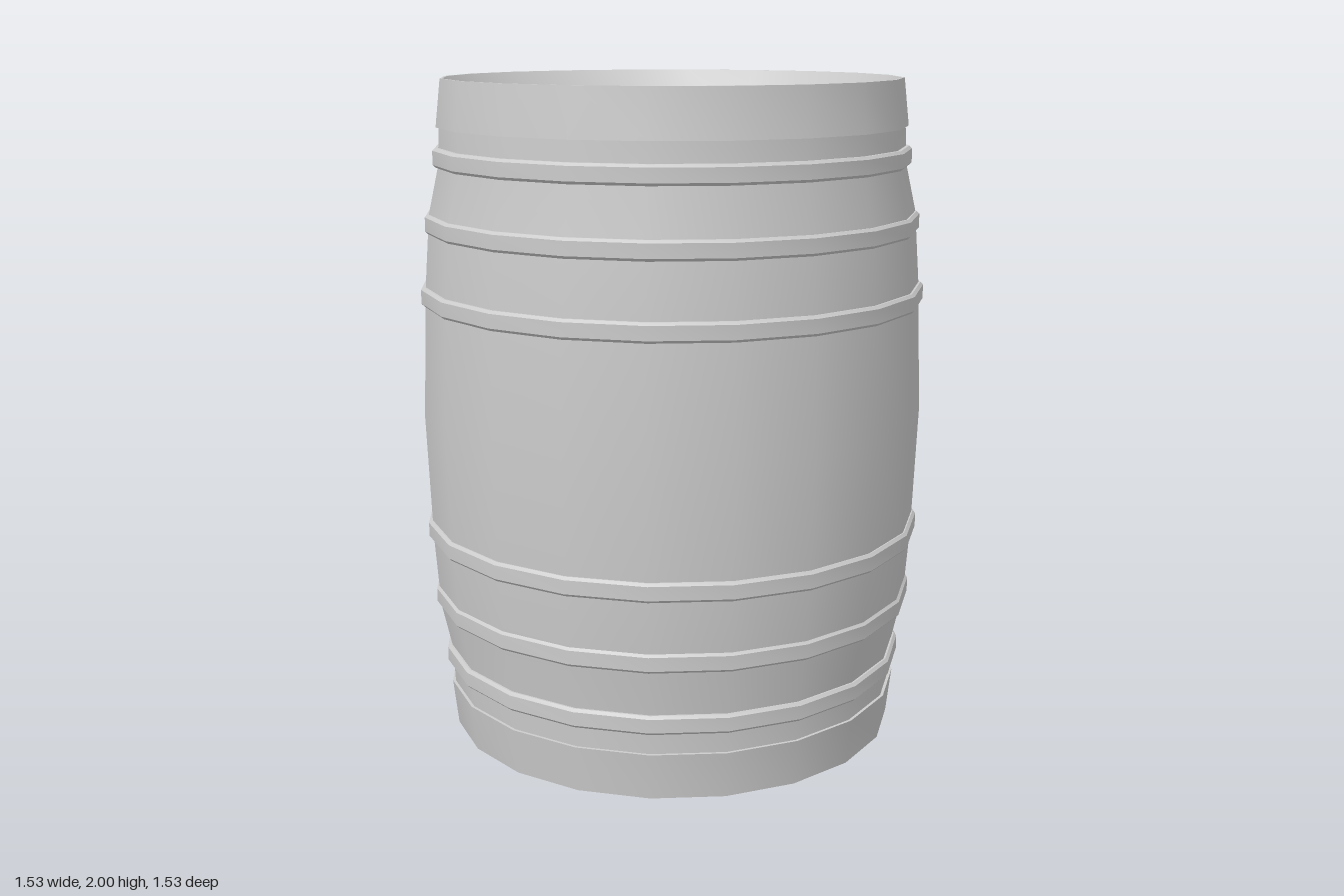
import * as THREE from 'three';
import { toCreasedNormals } from 'three/addons/utils/BufferGeometryUtils.js';

const SIDES = 20;
const HEIGHT = 2;

export function createModel() {
  const barrel = new THREE.Group();
  barrel.name = 'barrel';
  const material = new THREE.MeshStandardMaterial({ color: 0xcccccc });

  // Turned part from [radius, y] points; round the sides, sharp at the edges
  function turned(name, points) {
    const profile = points.map(([r, y]) => new THREE.Vector2(r, y));
    const geometry = toCreasedNormals(new THREE.LatheGeometry(profile, SIDES), 0.55);
    const mesh = new THREE.Mesh(geometry, material);
    mesh.name = name;
    barrel.add(mesh);
  }

  // Upside-down copy of a profile, reversed so that it still faces outward
  const flip = (points) => points.map(([r, y]) => [r, HEIGHT - y]).reverse();

  // Body: bulging staves closed by a sunken head at each end
  const upperHalf = [
    [0.752, 1.335], [0.75, 1.39], [0.738, 1.55], [0.733, 1.61],
    [0.703, 1.745], [0.7, 1.8], [0.697, 1.86],
    [0.592, 1.86], [0.592, 1.83], [0, 1.83],
  ];
  turned('body', [...flip(upperHalf), [0.765, 1], ...upperHalf]);

  // Rims: tapered rings with a funnel-shaped inside
  const rim = [[0.592, 1.86], [0.706, 1.86], [0.69, 2], [0.682, 2], [0.592, 1.86]];
  turned('topRim', rim);
  turned('bottomRim', flip(rim));

  // Hoops: bevelled bands, [bottom y, radius]
  const hoops = [
    [0.204, 0.718], [0.4, 0.746], [0.613, 0.764],
    [1.335, 0.764], [1.55, 0.746], [1.744, 0.718],
  ];
  const width = 0.057, bevel = 0.008, depth = 0.04;
  for (const [y, r] of hoops) {
    turned('hoop', [
      [r - depth, y], [r - bevel, y], [r, y + bevel],
      [r, y + width - bevel], [r - bevel, y + width], [r - depth, y + width],
    ]);
  }
  return barrel;
}
